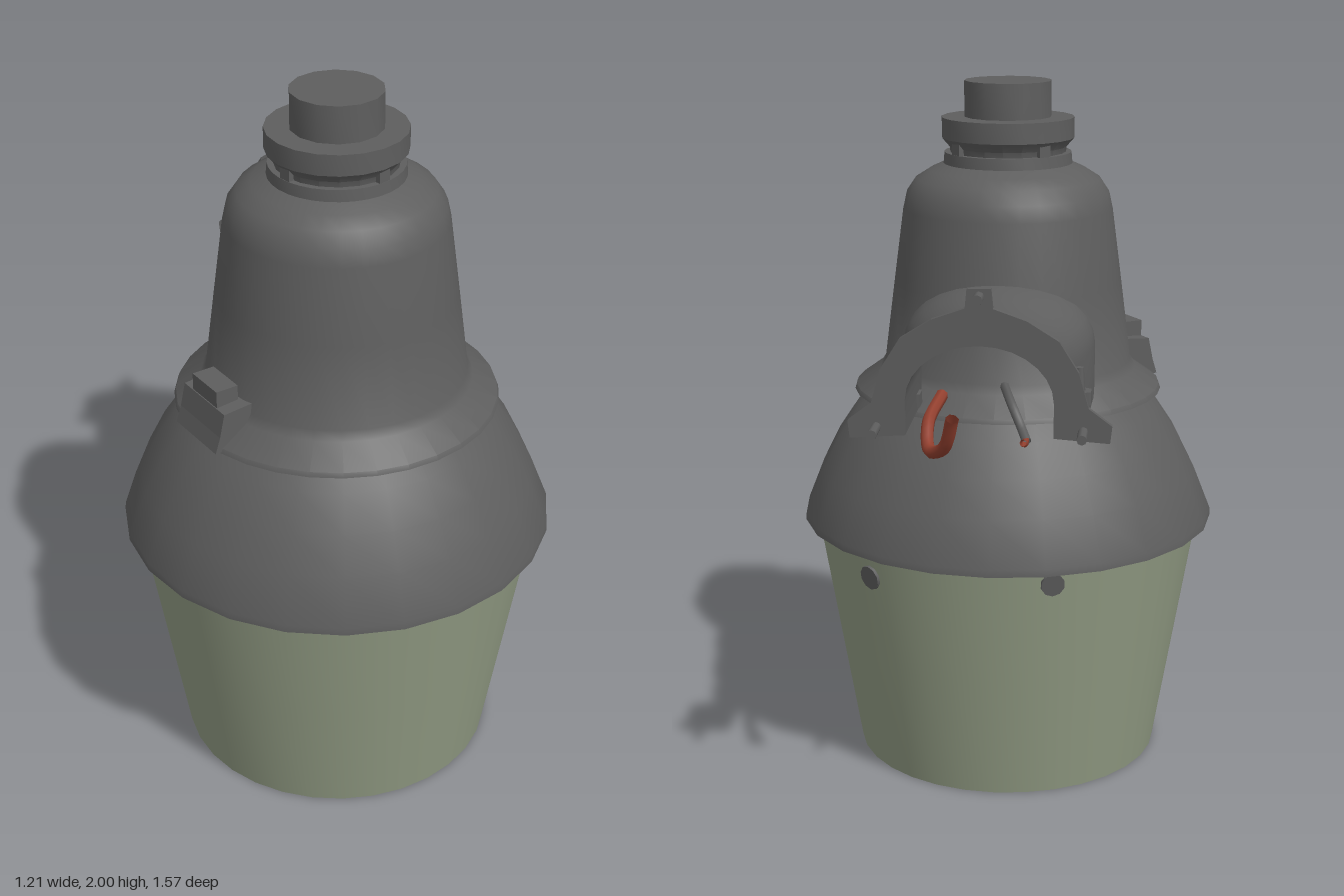
import * as THREE from 'three';
import { toCreasedNormals } from 'three/addons/utils/BufferGeometryUtils.js';

const AXIS_Z = 0.17; // the lamp body's vertical axis

const material = (name, color) =>
  new THREE.MeshStandardMaterial({ name, color, side: THREE.DoubleSide });
const metal = material('dark grey metal', 0x5e5e5e);
const glass = material('pale green lens', 0x929c84);
const red = material('red wire', 0x93402f);

export function createModel() {
  const model = new THREE.Group();
  model.name = 'yardLamp';

  const add = (name, geometry, mat = metal, parent = model) => {
    const mesh = new THREE.Mesh(geometry, mat);
    mesh.name = name;
    parent.add(mesh);
    return mesh;
  };
  const vectors = (pts) => pts.map(([x, y]) => new THREE.Vector2(x, y));

  // Round body, stacked on one axis
  const body = new THREE.Group();
  body.name = 'body';
  body.position.z = AXIS_Z;
  model.add(body);
  const turned = (name, pts, sides, mat = metal) =>
    add(name, toCreasedNormals(new THREE.LatheGeometry(vectors(pts), sides), 0.6), mat, body);

  turned('lens', [[0.45, 0.005], [0.51, 0.37], [0.57, 0.735]], 32, glass);
  turned('hood', [[0.565, 0.735], [0.607, 0.725], [0.605, 0.745], [0.555, 0.87],
    [0.505, 0.97], [0.445, 1.06], [0.385, 1.125]], 24);
  turned('housing', [[0.37, 1.11], [0.45, 1.112], [0.445, 1.125], [0.375, 1.175], [0.36, 1.2],
    [0.33, 1.43], [0.302, 1.64], [0.292, 1.685], [0.265, 1.725], [0.225, 1.75],
    [0.185, 1.768], [0.182, 1.8], [0, 1.8]], 32);
  turned('collar', [[0.165, 1.79], [0.168, 1.815], [0.19, 1.84], [0.19, 1.898], [0, 1.9]], 20);
  turned('sensorCap', [[0.125, 1.89], [0.125, 2], [0, 2]], 14);

  // Small clips below the collar
  for (let i = 0; i < 4; i++) {
    const a = i * Math.PI / 2 + 0.7;
    const clip = add('collarClip', new THREE.BoxGeometry(0.035, 0.04, 0.02), metal, body);
    clip.position.set(Math.sin(a) * 0.17, 1.815, Math.cos(a) * 0.17);
    clip.rotation.y = a;
  }

  // Latch boss on the front right shoulder
  const latch = new THREE.Group();
  latch.name = 'latch';
  latch.rotation.y = Math.atan2(-0.33, 0.21);
  body.add(latch);
  const boss = new THREE.Shape(vectors([[-0.3, 1.115], [-0.455, 1.115], [-0.44, 1.16],
    [-0.425, 1.225], [-0.3, 1.235]]));
  const bossGeometry = new THREE.ExtrudeGeometry(boss, { depth: 0.2, bevelEnabled: false });
  bossGeometry.translate(0, 0, -0.1).rotateY(Math.PI / 2);
  add('latchBoss', bossGeometry, metal, latch);
  add('latchBlock', new THREE.BoxGeometry(0.12, 0.06, 0.065), metal, latch).position.set(0, 1.243, 0.39);

  // Screws showing on the lens: x, z from the axis, y and radius
  for (const [x, z, y, r] of [[0.35, -0.43, 0.65, 0.036], [-0.17, -0.535, 0.685, 0.034],
    [-0.49, 0.28, 0.715, 0.02]]) {
    const screw = add('lensScrew', new THREE.CylinderGeometry(r, r, 0.012, 10).rotateX(Math.PI / 2), metal, body);
    screw.rotation.order = 'YXZ';
    screw.rotation.set(0.16, Math.atan2(x, z), 0);
    screw.position.set(x, y, z).setLength(1);
    const d = 0.45 + 0.12 * y / 0.735;
    const k = d / Math.hypot(x, z);
    screw.position.set(x * k, y, z * k);
  }

  // Arch points from the right foot over the crown to the left foot
  const arch = (w, top) => {
    const pts = [[w, 1.19]];
    const n = 14;
    for (let i = 0; i <= n; i++) {
      const a = i / n * Math.PI;
      pts.push([w * Math.cos(a), 1.28 + (top - 1.28) * Math.sin(a)]);
    }
    pts.push([-w, 1.19]);
    return pts;
  };

  // Hollow mounting arm, open below and flared where it meets the housing
  const armShape = new THREE.Shape(vectors([...arch(0.213, 1.45), ...arch(0.188, 1.425).reverse()]));
  let arm = new THREE.ExtrudeGeometry(armShape, { depth: 0.58, steps: 12, bevelEnabled: false });
  arm.translate(0, 0, -0.66);
  const p = arm.attributes.position;
  for (let i = 0; i < p.count; i++) {
    const t = THREE.MathUtils.smoothstep(p.getZ(i), -0.36, -0.12);
    const y = p.getY(i);
    p.setX(i, p.getX(i) * (1 + 0.25 * t));
    p.setY(i, y + (y < 1.25 ? -0.075 : 0.025) * t);
  }
  arm = toCreasedNormals(arm, 0.6);
  add('mountingArm', arm);

  // Arched wall plate with spread feet and a top tab
  const half = [[0.33, 1.18], [0.335, 1.225], [0.275, 1.27], [0.25, 1.36], [0.2, 1.44],
    [0.12, 1.49], [0.035, 1.52], [0.03, 1.57]];
  const plate = new THREE.Shape(vectors([...half, ...half.map(([x, y]) => [-x, y]).reverse(),
    ...arch(0.188, 1.425).reverse()]));
  add('wallPlate', new THREE.ExtrudeGeometry(plate, { depth: 0.018, bevelEnabled: false }))
    .position.z = -0.668;

  // Fixing pins through the plate
  const pin = (name, x, y, z0, z1, r) => {
    const mesh = add(name, new THREE.CylinderGeometry(r, r, z1 - z0, 8).rotateX(Math.PI / 2));
    mesh.position.set(x, y, (z0 + z1) / 2);
  };
  pin('topPin', 0, 1.55, -0.715, -0.63, 0.014);
  for (const s of [-1, 1]) {
    pin('footPin', s * 0.262, 1.21, -0.745, -0.64, 0.013);
    pin('footPinHead', s * 0.262, 1.21, -0.65, -0.63, 0.026);

    // Clamp bolt beside the arm
    const bolt = new THREE.Group();
    bolt.name = 'clampBolt';
    bolt.position.set(s * 0.24, 0, -0.42);
    model.add(bolt);
    add('clampNut', new THREE.CylinderGeometry(0.036, 0.036, 0.035, 6), metal, bolt).position.y = 1.235;
    add('clampShaft', new THREE.CylinderGeometry(0.011, 0.022, 0.15, 8), metal, bolt).position.y = 1.24;
    add('clampTip', new THREE.CylinderGeometry(0.024, 0.024, 0.025, 8), metal, bolt).position.y = 1.178;
    add('clampLug', new THREE.BoxGeometry(0.06, 0.035, 0.05), metal, bolt).position.set(-s * 0.03, 1.22, 0);
  }

  // Loose wires hanging out of the arm
  const wire = (name, pts, r, mat) => add(name, new THREE.TubeGeometry(
    new THREE.CatmullRomCurve3(pts.map((v) => new THREE.Vector3(...v))), 20, r, 7), mat);
  wire('redWire', [[0.12, 1.24, -0.45], [0.14, 1.2, -0.58], [0.125, 1.15, -0.67],
    [0.08, 1.18, -0.73], [0.055, 1.265, -0.775]], 0.017, red);
  wire('greyWire', [[-0.05, 1.28, -0.5], [-0.08, 1.27, -0.64], [-0.11, 1.22, -0.69],
    [-0.125, 1.2, -0.73]], 0.012, metal);
  wire('redWireEnd', [[-0.122, 1.203, -0.72], [-0.122, 1.2, -0.75], [-0.12, 1.21, -0.78]], 0.009, red);

  return model;
}
